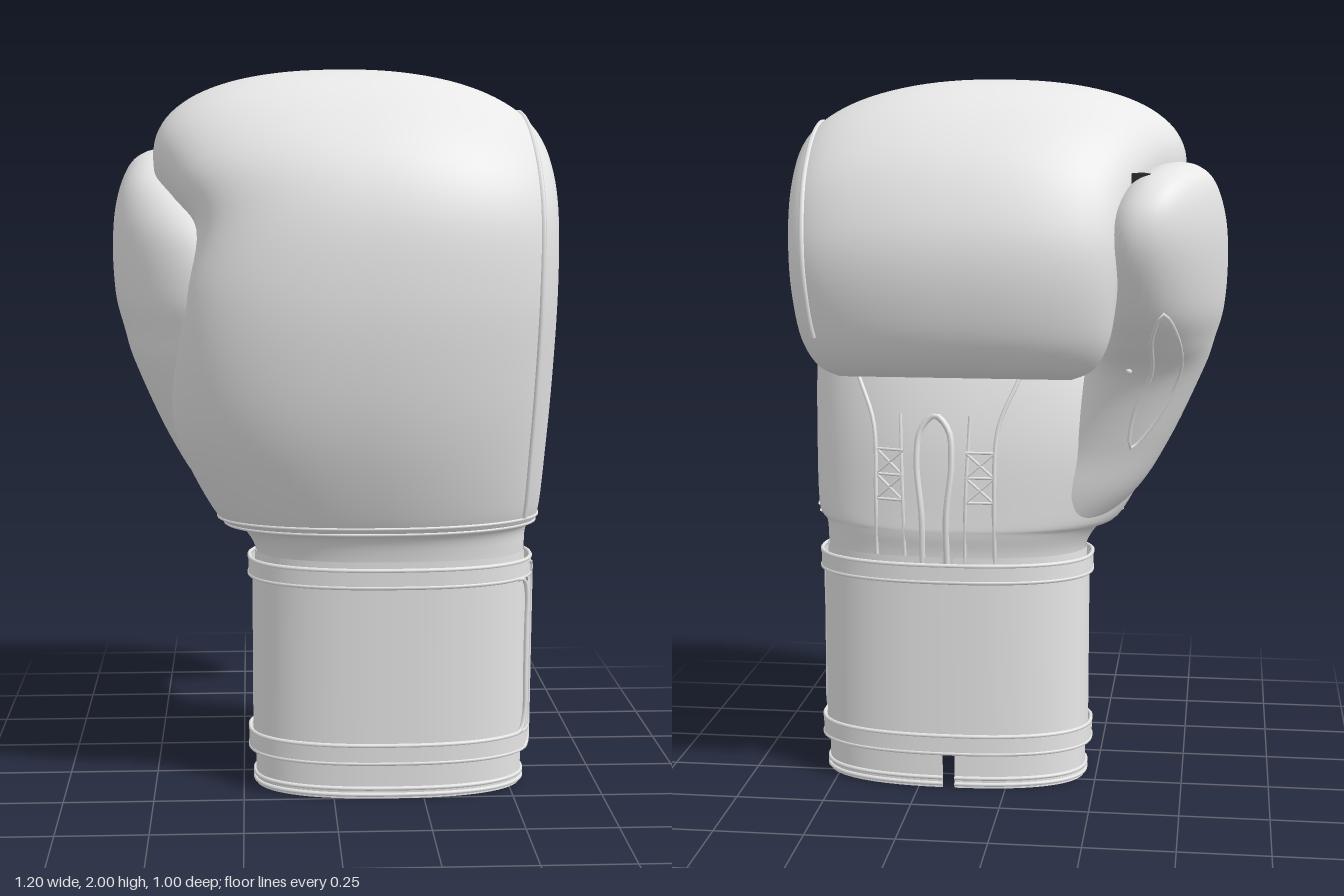
import * as THREE from 'three';
import { mergeVertices } from 'three/addons/utils/BufferGeometryUtils.js';

const leather = new THREE.MeshStandardMaterial({ color: 0xe7e7e7, side: THREE.DoubleSide });
leather.name = 'light grey leather';
const dark = new THREE.MeshStandardMaterial({ color: 0x303030 });
dark.name = 'dark strap';

// Smooth interpolation through a table of rows, t counted in rows
function sample(rows, t) {
  const last = rows.length - 1;
  const i = Math.min(Math.max(Math.floor(t), 0), last - 1), f = t - i;
  const r = k => rows[Math.min(Math.max(k, 0), last)];
  return rows[0].map((_, c) => {
    const [a, b, d, e] = [r(i - 1)[c], r(i)[c], r(i + 1)[c], r(i + 2)[c]];
    return b + 0.5 * f * (d - a + f * (2 * a - 5 * b + 4 * d - e + f * (3 * (b - d) + e - a)));
  });
}
const power = (s, n) => Math.sign(s) * Math.abs(s) ** (2 / n);

// Skin over point(u, angle)
function skin(point, u0, u1, nu, a0 = 0, a1 = Math.PI * 2, na = 72) {
  const pos = [], index = [];
  for (let i = 0; i <= nu; i++) for (let j = 0; j <= na; j++) {
    pos.push(...point(u0 + (u1 - u0) * i / nu, a0 + (a1 - a0) * j / na).toArray());
  }
  for (let i = 0; i < nu; i++) for (let j = 0; j < na; j++) {
    const p = i * (na + 1) + j, q = p + na + 1;
    index.push(p, q, p + 1, p + 1, q, q + 1);
  }
  let g = new THREE.BufferGeometry();
  g.setAttribute('position', new THREE.Float32BufferAttribute(pos, 3));
  g.setIndex(index);
  g = mergeVertices(g, 1e-5);
  g.computeVertexNormals();
  return g;
}

// Hand stations: outer z, outer y, inner z, inner y, x min, x max
const HAND = [
  [.275, .62, -.10, .62, -.20, .535],
  [.285, .69, -.105, .69, -.215, .54],
  [.305, .745, -.115, .745, -.25, .545],
  [.35, .79, -.115, .79, -.32, .572],
  [.435, 1.0, -.10, 1.0, -.42, .585],
  [.482, 1.2, -.05, 1.2, -.44, .592],
  [.50, 1.42, .03, 1.38, -.41, .594],
  [.475, 1.64, .06, 1.49, -.365, .594],
  [.39, 1.81, .04, 1.525, -.425, .594],
  [.22, 1.95, 0, 1.535, -.48, .588],
  [0, 2.0, -.05, 1.54, -.475, .578],
  [-.22, 1.95, -.10, 1.53, -.412, .565],
  [-.385, 1.82, -.16, 1.50, -.355, .555],
  [-.472, 1.66, -.195, 1.45, -.335, .545],
  [-.495, 1.51, -.20, 1.38, -.32, .535],
  [-.465, 1.345, -.205, 1.31, -.30, .515],
  [-.40, 1.255, -.24, 1.25, -.26, .475],
  [-.315, 1.222, -.315, 1.222, -.2, .42],
];
// Roundness of the section: softer on the little finger side
const roundness = side => side > 0 ? 2.1 : 2.4;
function hand(t, a) {
  const [oz, oy, iz, iy, x0, x1] = sample(HAND, t);
  const n = roundness(Math.cos(a));
  const u = power(Math.cos(a), n), v = power(Math.sin(a), n);
  return new THREE.Vector3((x0 + x1) / 2 + u * (x1 - x0) / 2,
    (oy + iy) / 2 + v * (oy - iy) / 2, (oz + iz) / 2 + v * (oz - iz) / 2);
}
// Point just above the palm side at a given x and y
function palm(x, y) {
  let lo = 0, hi = 6.5;
  for (let k = 0; k < 24; k++) {
    const m = (lo + hi) / 2;
    if (sample(HAND, m)[3] < y) lo = m; else hi = m;
  }
  const [oz, , iz, , x0, x1] = sample(HAND, lo);
  const u = (2 * x - x0 - x1) / (x1 - x0), n = roundness(u);
  const v = (1 - Math.min(1, Math.abs(u)) ** n) ** (1 / n);
  return new THREE.Vector3(x, y, (oz + iz) / 2 - v * (oz - iz) / 2 - .003);
}

// Thumb stations: y, centre x, half width, front z, back z
const THUMB = [
  [.70, -.08, .10, .15, -.04], [.85, -.205, .15, .25, -.075], [1.0, -.29, .165, .33, -.095],
  [1.2, -.37, .175, .38, -.15], [1.3, -.398, .176, .39, -.25], [1.4, -.42, .177, .385, -.34],
  [1.55, -.435, .168, .32, -.41], [1.66, -.447, .145, .20, -.41], [1.74, -.465, .10, .05, -.35],
  [1.775, -.472, .05, -.04, -.25], [1.785, -.475, 0, -.14, -.14],
];
function thumb(t, a) {
  const [y, xc, hx, zf, zb] = sample(THUMB, t);
  const z = (zf + zb) / 2 + power(Math.sin(a), 2.2) * (zf - zb) / 2;
  const bend = z > 0 ? .85 : .35;
  return new THREE.Vector3(xc + power(Math.cos(a), 2.2) * hx + bend * z * z, y, z);
}

// Cuff oval, with an outward offset
const cuff = off => (y, a) => {
  const zf = .266 + (y - .1) * .05, zb = -.116;
  return new THREE.Vector3(.163 + power(Math.cos(a), 2.4) * (.384 + off), y,
    (zf + zb) / 2 + power(Math.sin(a), 2.4) * ((zf - zb) / 2 + off));
};

export function createModel() {
  const glove = new THREE.Group();
  glove.name = 'boxingGlove';
  const add = (name, geometry, material = leather) => {
    const m = new THREE.Mesh(geometry, material);
    m.name = name;
    glove.add(m);
    return m;
  };
  const cord = (name, pts, r = .006, closed = false) => add(name, new THREE.TubeGeometry(
    new THREE.CatmullRomCurve3(pts, closed, 'centripetal'), pts.length * 5, r, 6, closed));
  const line = (fn, n) => Array.from({ length: n + 1 }, (_, i) => fn(i / n));
  const TAU = Math.PI * 2;

  // Padded body: wrist, back of hand, curled fingers
  add('hand', skin(hand, 0, HAND.length - 1, 102, 0, TAU, 96));
  add('thumb', skin(thumb, 0, THUMB.length - 1, 60, 0, TAU, 64));

  // Piping along the little finger side
  cord('sidePiping', line(k => hand(3 + k * 12, .5), 44), .008);
  // Double stitching at the base of the padding
  for (const t of [2.72, 2.95]) cord('wristStitch', line(k => hand(t, -.12 + k * (Math.PI + .1)), 40), .005);

  // Strap joining thumb and hand
  const tie = add('thumbTie', new THREE.BoxGeometry(.05, .07, .15), dark);
  tie.position.set(-.395, 1.725, -.225);
  tie.rotation.y = -.27;

  // Palm: lace slit, seams and crossed stitching on both sides
  cord('laceSlit', [[.165, .66], [.165, .8], [.15, .95], [.16, 1.04], [.2, 1.08], [.24, 1.04], [.25, .95], [.235, .8], [.235, .66]]
    .map(p => palm(...p)), .009);
  for (const s of [-1, 1]) {
    const at = (d, y) => palm(.2 + s * d, y);
    cord('palmSeam', [at(.17, .66), at(.17, .85), at(.18, 1.05), at(.24, 1.2), at(.27, 1.35)]);
    cord('laceSeam', [at(.085, .66), at(.09, .85), at(.1, 1.08)], .005);
    for (const y of [.84, .91, .98]) cord('stitchBar', [at(.09, y), at(.17, y)], .004);
    for (const y of [.84, .91]) {
      cord('stitchCross', [at(.09, y), at(.17, y + .07)], .004);
      cord('stitchCross', [at(.17, y), at(.09, y + .07)], .004);
    }
  }
  // Seam on the palm side of the thumb
  cord('thumbSeam', [[2, -1.9], [2.5, -2.15], [3.1, -2.2], [4.4, -2.05], [5, -1.85], [4.4, -1.72], [3.1, -1.75], [2.5, -1.7]]
    .map(p => thumb(...p)), .006, true);
  // Ventilation eyelets
  const eyelet = p => add('eyelet', new THREE.SphereGeometry(.009, 10, 8)).position.copy(p);
  eyelet(thumb(3.2, -1.45));
  for (const x of [.1, .2, .3]) eyelet(palm(x, 1.2));

  // Hollow inner sleeve with a notch at the back
  const gap = .024, from = -Math.PI / 2 + gap, to = TAU - Math.PI / 2 - gap;
  add('innerSleeve', skin(cuff(-.006), 0, .68, 10, from, to));
  for (const y of [.012, .03]) cord('sleeveStitch', line(k => cuff(-.004)(y, from + k * (to - from)), 72), .006);

  // Wrist strap with raised trim
  add('wristStrap', skin(cuff(.002), .11, .655, 8));
  for (const [y0, y1] of [[.108, .16], [.612, .66]]) {
    add('strapTrim', skin(cuff(.013), y0, y1, 2));
    for (const y of [y0, y1]) {
      cord('trimEdge', line(k => cuff(.01)(y, k * TAU), 72).slice(0, -1), .006, true);
    }
  }
  // Overlapping end of the strap, with rounded corners
  add('strapEnd', skin(cuff(.013), .14, .63, 4, .1, .34, 8));
  const flap = (name, a, y0, y1, c) => {
    const pts = [[a + .22, y1], [a + .09, y1 - c * .15], [a, y1 - c], [a, .45], [a, .32],
      [a, y0 + c], [a + .09, y0 + c * .15], [a + .22, y0]];
    cord(name, pts.map(([p, y]) => cuff(.013)(y, p)), .006);
  };
  flap('flapEdge', .1, .11, .655, .07);
  flap('flapStitch', .34, .16, .612, .05);
  return glove;
}
